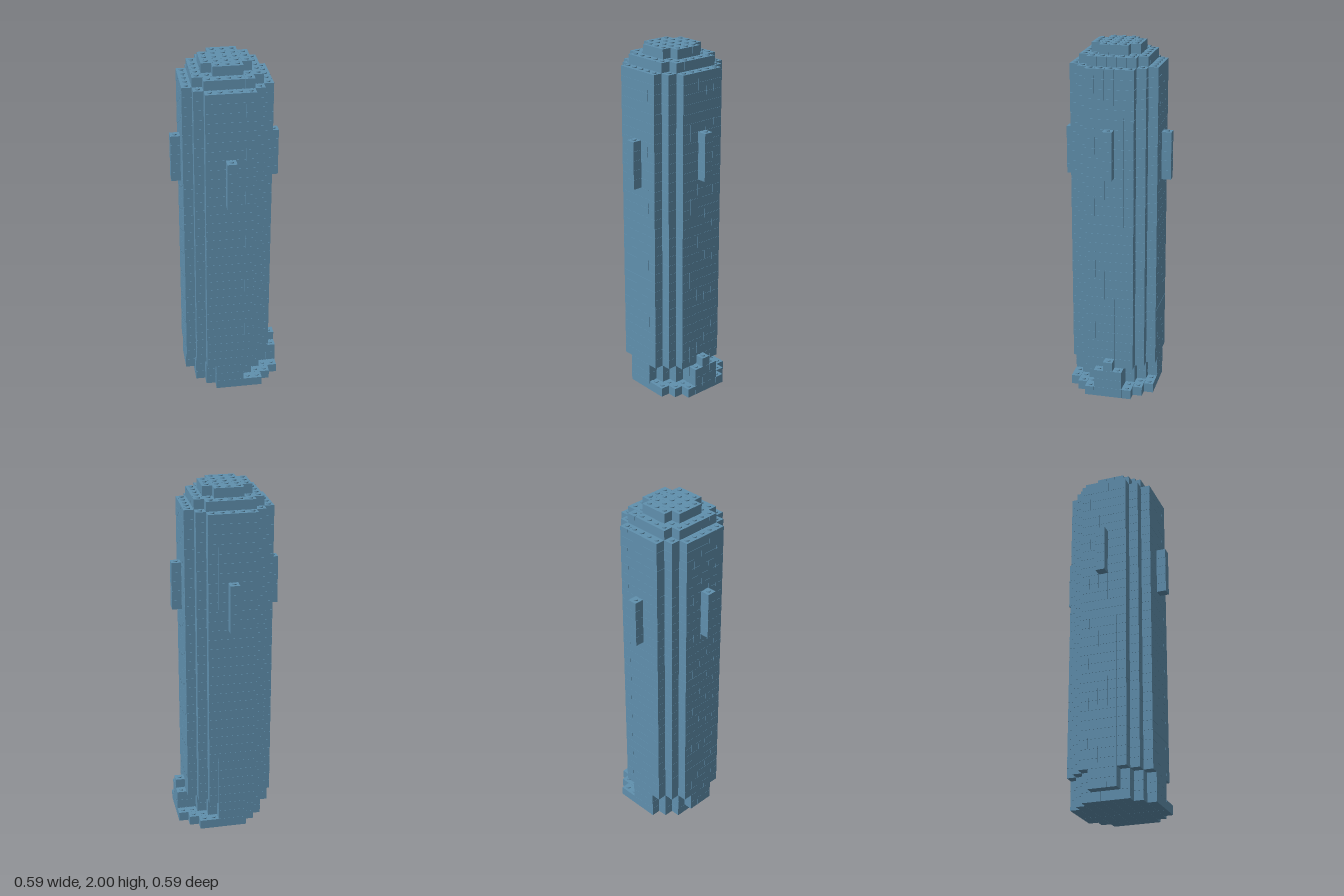
import * as THREE from 'three';
import { mergeGeometries } from 'three/addons/utils/BufferGeometryUtils.js';

const U = 0.0539;      // one stud pitch, also one course height
const GAP = 0.0008;    // hairline joint between bricks
const STUD_R = 0.0122, STUD_H = 0.0057;

// Stepped octagon: cells within a square whose corners are cut diagonally
const octagon = (half, sum, shift = 0) => (x, z) =>
  Math.abs(x - shift) <= half && Math.abs(z) <= half && Math.abs(x - shift) + Math.abs(z) <= sum;

const shaft = octagon(4, 6);
const recess = octagon(4, 5);
const plinth = octagon(4, 6, 1);

// Footprint of each of the 37 courses, from the ground up
function footprint(level) {
  if (level === 0) return plinth;
  if (level <= 2) return recess;
  if (level === 36) return octagon(2, 3);
  if (level === 35) return octagon(3, 5);
  return shaft;
}

// Extra single-width pieces outside the shaft
function attached(level, x, z) {
  if (x === 5 && level >= 1 && level <= 3) return Math.abs(z) <= (level < 3 ? 1 : 0); // doorstep
  if (Math.abs(x) === 5 && z === 0) return level >= 24 && level <= 28;                // side ribs
  if (Math.abs(z) === 5 && x === 0) return level >= 23 && level <= 27;                // front and back ribs
  return false;
}

function brick(x0, x1, z0, z1, level) {
  const g = new THREE.BoxGeometry((x1 - x0 + 1) * U - GAP, U - GAP, (z1 - z0 + 1) * U - GAP);
  return g.translate((x0 + x1) / 2 * U, (level + 0.5) * U, (z0 + z1) / 2 * U);
}

function stud(x, z, level) {
  const g = new THREE.CylinderGeometry(STUD_R, STUD_R, STUD_H + GAP, 20);
  return g.translate(x * U, (level + 1) * U + STUD_H / 2 - GAP / 2, z * U);
}

// Rows of bricks with a joint right of the middle
function courseBricks(inside, level) {
  const bricks = [];
  for (let z = -4; z <= 4; z++) {
    for (const [from, to] of [[-5, 1], [2, 5]]) {
      const xs = [];
      for (let x = from; x <= to; x++) if (inside(x, z)) xs.push(x);
      if (xs.length) bricks.push(brick(xs[0], xs[xs.length - 1], z, z, level));
    }
  }
  return bricks;
}

export function createModel() {
  const model = new THREE.Group();
  model.name = 'brickTower';
  const blue = new THREE.MeshStandardMaterial({ color: 0x6090ae });
  blue.name = 'dusty blue';

  const add = (name, parts) => {
    if (!parts.length) return;
    const mesh = new THREE.Mesh(mergeGeometries(parts), blue);
    mesh.name = name;
    model.add(mesh);
  };

  const filled = (level, x, z) => level < 37 && (footprint(level)(x, z) || attached(level, x, z));
  const ribs = [], step = [], studs = [];

  for (let level = 0; level < 37; level++) {
    const name = level === 0 ? 'plinth' : level >= 35 ? 'roofStep' : 'course' + level;
    add(name, courseBricks(footprint(level), level));

    for (let x = -5; x <= 5; x++) {
      for (let z = -5; z <= 5; z++) {
        if (!filled(level, x, z)) continue;
        if (attached(level, x, z)) (level < 4 ? step : ribs).push(brick(x, x, z, z, level));
        // Studs only where nothing sits on top
        if (!filled(level + 1, x, z)) studs.push(stud(x, z, level));
      }
    }
  }

  add('ribs', ribs);
  add('doorstep', step);
  add('studs', studs);
  return model;
}
